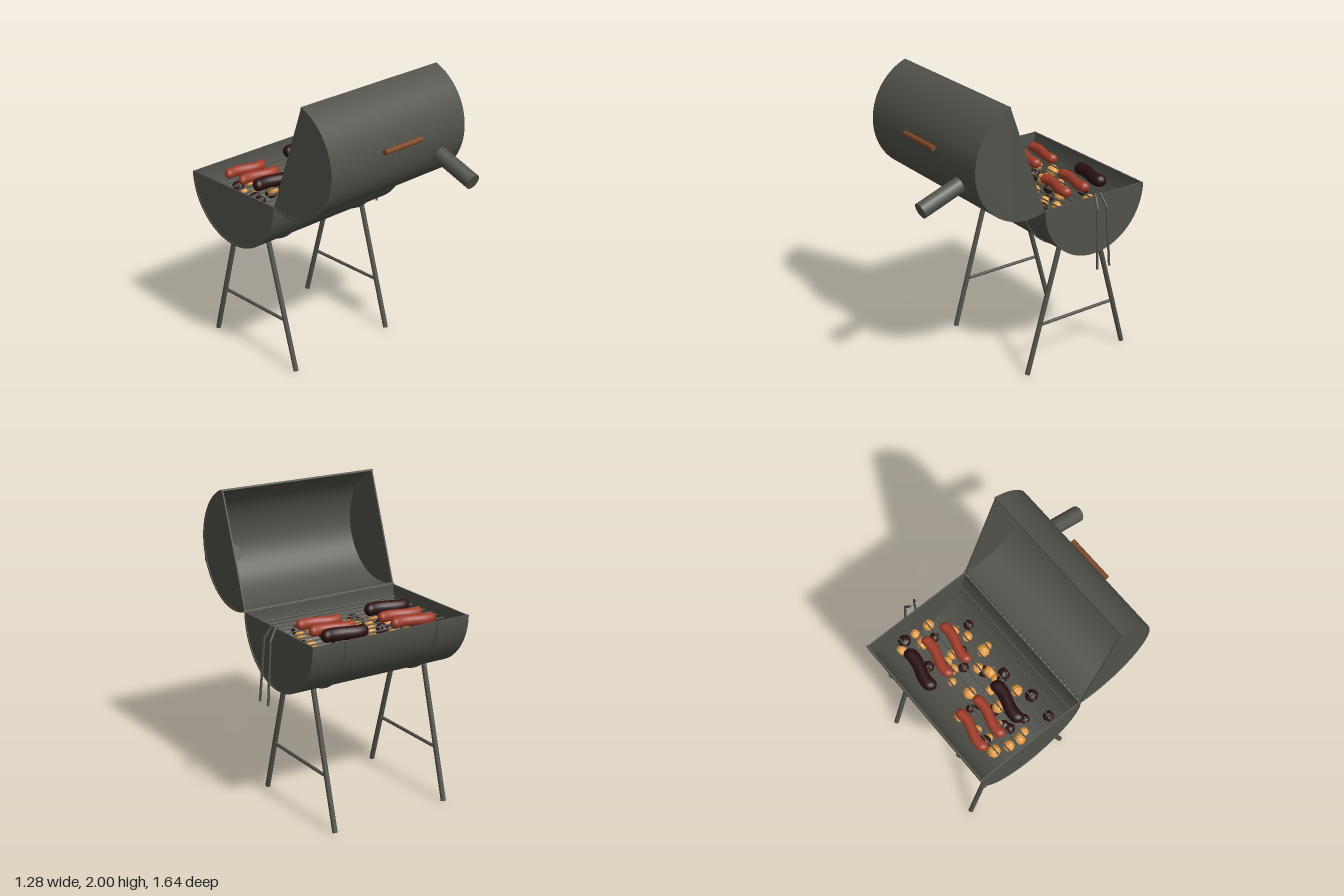
import * as THREE from 'three';
import { toCreasedNormals } from 'three/addons/utils/BufferGeometryUtils.js';

const mat = (name, color) => Object.assign(new THREE.MeshStandardMaterial({ color }), { name });

export function createModel() {
  const metal = mat('dark metal', 0x52524b);
  const wood = mat('handle wood', 0x7d4726);
  const red = mat('sausage red', 0xa03c28);
  const burnt = mat('burnt sausage', 0x2a0f10);
  const ember = mat('glowing ember', 0xe39a45);
  const ash = mat('dark coal', 0x2c1212);

  const model = new THREE.Group();
  model.name = 'barrelGrill';
  const add = (name, geometry, material, parent = model) => {
    const mesh = new THREE.Mesh(geometry, material);
    mesh.name = name;
    parent.add(mesh);
    return mesh;
  };
  // Round bar between two points
  const rod = (name, from, to, radius, material = metal, parent = model) => {
    const a = new THREE.Vector3(...from), b = new THREE.Vector3(...to);
    const dir = b.clone().sub(a);
    const mesh = add(name, new THREE.CylinderGeometry(radius, radius, dir.length(), 16), material, parent);
    mesh.position.copy(a).add(b).multiplyScalar(0.5);
    mesh.quaternion.setFromUnitVectors(new THREE.Vector3(0, 1, 0), dir.normalize());
    return mesh;
  };

  // Half drum, opening upwards: curved wall and two end plates
  const LENGTH = 1.17, MID_X = -0.055, WALL = 0.012;
  const extrudeX = (shape, depth) => {
    const g = new THREE.ExtrudeGeometry(shape, { depth, bevelEnabled: false, curveSegments: 40 });
    g.translate(0, 0, -depth / 2).rotateY(Math.PI / 2);
    return toCreasedNormals(g, 0.6);
  };
  const halfDrum = (name, r) => {
    const drum = new THREE.Group();
    drum.name = name;
    const wall = new THREE.Shape();
    wall.absarc(0, 0, r, Math.PI, 2 * Math.PI, false);
    wall.absarc(0, 0, r - WALL, 2 * Math.PI, Math.PI, true);
    add(name + 'Wall', extrudeX(wall, LENGTH), metal, drum);
    const plate = new THREE.Shape();
    plate.absarc(0, 0, r - WALL / 2, Math.PI, 2 * Math.PI, false);
    for (const s of [-1, 1]) {
      add(name + 'End', extrudeX(plate, 0.01), metal, drum).position.x = s * (LENGTH / 2 - 0.009);
    }
    model.add(drum);
    return drum;
  };
  const AXIS_Y = 1.255, AXIS_Z = -0.395;
  halfDrum('bowl', 0.405).position.set(MID_X, AXIS_Y, AXIS_Z);
  const lid = halfDrum('lid', 0.396);
  lid.position.set(MID_X, 1.627, 0.146);
  lid.rotation.x = -1.223;

  // Chimney through the lid, and wooden handle
  rod('chimney', [0.383, -0.36, 0], [0.383, -0.7, 0], 0.053, metal, lid);
  rod('handle', [-0.215, 1.67, 0.56], [0.11, 1.67, 0.56], 0.018, wood);

  // Straps round the bowl
  for (const x of [-0.395, 0.29]) {
    const g = new THREE.TorusGeometry(0.406, 0.009, 8, 48, Math.PI);
    g.rotateZ(Math.PI).rotateY(Math.PI / 2);
    add('strap', g, metal).position.set(x, AXIS_Y, AXIS_Z);
  }

  // Splayed legs with crossbars
  for (const x of [-0.48, 0.37]) {
    for (const s of [-1, 1]) {
      rod('leg', [x, 0.005, AXIS_Z + s * 0.41], [x, 0.89, AXIS_Z + s * 0.158], 0.017);
    }
    rod('crossbar', [x, 0.35, -0.105], [x, 0.35, -0.68], 0.011);
  }

  // Tongs hanging at the side
  for (const s of [-1, 1]) {
    const p = [[0.55, 1.285, AXIS_Z + s * 0.02], [0.602, 1.2, AXIS_Z + s * 0.037], [0.63, 0.79, AXIS_Z + s * 0.05]];
    rod('tongArm', p[0], p[1], 0.008);
    rod('tongArm', p[1], p[2], 0.008);
    add('tongElbow', new THREE.SphereGeometry(0.008, 10, 8), metal).position.set(...p[1]);
  }

  // Cooking grate
  for (let i = 0; i < 10; i++) {
    const z = -0.057 - i * 0.0672;
    rod('grateBar', [-0.6, 1.19, z], [0.49, 1.19, z], 0.005);
  }

  // S-bent sausages
  const sausage = (x, z, r, material) => {
    const g = new THREE.CapsuleGeometry(r, 0.32 - 2 * r, 8, 18, 24);
    g.rotateZ(Math.PI / 2);
    const p = g.attributes.position;
    for (let i = 0; i < p.count; i++) {
      p.setZ(i, p.getZ(i) + 0.014 * Math.sin((p.getX(i) / 0.32) * 2 * Math.PI) + 0.06 * p.getX(i));
    }
    g.computeVertexNormals();
    add('sausage', g, material).position.set(x, 1.193 + r, z);
  };
  for (const [x, z] of [[-0.33, -0.63], [-0.33, -0.49], [0.19, -0.49], [0.19, -0.34]]) sausage(x, z, 0.035, red);
  for (const [x, z] of [[0.19, -0.63], [-0.33, -0.34]]) sausage(x, z, 0.043, burnt);

  // Knobbly coals, placed by [x, z]
  let seed = 7;
  const rand = () => (seed = (seed * 16807) % 2147483647) / 2147483647;
  const lump = new THREE.IcosahedronGeometry(1, 3);
  const lp = lump.attributes.position, v = new THREE.Vector3();
  for (let i = 0; i < lp.count; i++) {
    v.fromBufferAttribute(lp, i);
    v.multiplyScalar(1 + 0.1 * Math.sin(9 * v.x) * Math.sin(9 * v.y + 1) * Math.cos(9 * v.z));
    lp.setXYZ(i, v.x, v.y, v.z);
  }
  lump.computeVertexNormals();
  const embers = [
    [-0.5, -0.59], [-0.54, -0.5], [-0.55, -0.42], [-0.53, -0.37], [-0.39, -0.46], [-0.3, -0.39], [-0.29, -0.23],
    [-0.11, -0.47], [-0.18, -0.36], [-0.14, -0.28], [-0.08, -0.28], [-0.01, -0.32], [0.02, -0.51], [0.06, -0.22],
    [0.07, -0.18], [0.09, -0.45], [0.15, -0.45], [0.17, -0.39], [0.2, -0.24], [0.29, -0.27], [0.35, -0.49],
    [0.41, -0.62], [0.43, -0.49], [0.43, -0.38], [-0.19, -0.61], [-0.33, -0.59], [-0.41, -0.56]];
  const dark = [
    [-0.55, -0.18], [-0.47, -0.31], [-0.45, -0.42], [-0.42, -0.6], [-0.37, -0.17], [-0.41, -0.43], [-0.29, -0.42],
    [-0.19, -0.53], [-0.05, -0.3], [-0.15, -0.22], [-0.17, -0.26], [0.05, -0.39], [0.2, -0.56], [0.26, -0.18],
    [0.34, -0.4], [0.44, -0.57], [0.15, -0.32], [-0.21, -0.46]];
  for (const [list, material] of [[embers, ember], [dark, ash]]) {
    for (const [x, z] of list) {
      const coal = add('coal', lump, material);
      coal.position.set(x, 1.11 + 0.04 * rand(), z);
      coal.scale.setScalar(0.027 + 0.016 * rand());
      coal.rotation.set(6 * rand(), 6 * rand(), 0);
    }
  }
  return model;
}
